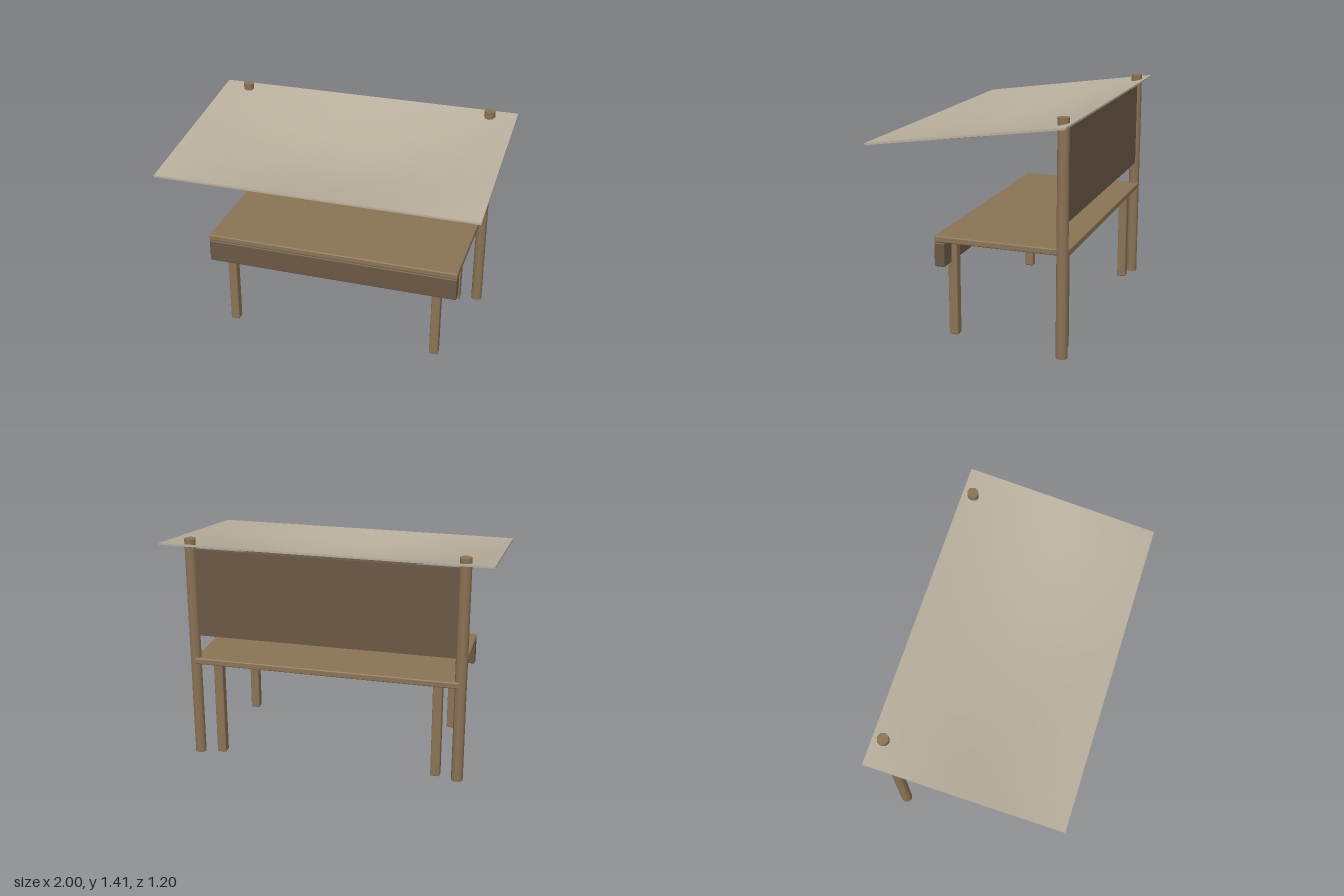
import * as THREE from 'three';
import { RoundedBoxGeometry } from 'three/addons/geometries/RoundedBoxGeometry.js';

const wood = new THREE.MeshStandardMaterial({ color: 0x8b7355 });
const darkWood = new THREE.MeshStandardMaterial({ color: 0x6b5844 });
const cloth = new THREE.MeshStandardMaterial({ color: 0xb8ae9c });

// Softly rounded board given by its lowest and highest corner
function board(name, min, max, material, radius = 0.008) {
  const size = max.map((v, i) => v - min[i]);
  const mesh = new THREE.Mesh(new RoundedBoxGeometry(...size, 2, radius), material);
  mesh.position.set(...max.map((v, i) => (v + min[i]) / 2));
  mesh.name = name;
  return mesh;
}

// Sloping cloth roof that sags in the middle, with straight edges
function makeCanopy() {
  const geometry = new THREE.BoxGeometry(2, 0.012, 1.2, 10, 1, 6);
  const p = geometry.attributes.position;
  for (let i = 0; i < p.count; i++) {
    const x = p.getX(i), z = p.getZ(i);
    const sag = 0.115 * Math.cos(x * Math.PI / 2) * Math.cos(z / 0.6 * Math.PI / 2);
    p.setY(i, p.getY(i) + 1.301 - 0.142 * z - sag);
  }
  geometry.computeVertexNormals();
  const mesh = new THREE.Mesh(geometry, cloth);
  mesh.name = 'canopy';
  return mesh;
}

export function createModel() {
  const model = new THREE.Group();
  model.name = 'marketStall';

  // Counter top and front apron
  model.add(board('counterTop', [-0.825, 0.615, -0.57], [0.825, 0.655, 0.26], wood));
  model.add(board('frontApron', [-0.825, 0.465, 0.195], [0.825, 0.613, 0.26], darkWood));

  for (const side of [-1, 1]) {
    const label = side > 0 ? 'left' : 'right';

    // Front and back legs
    for (const [end, z] of [['Front', 0.19], ['Back', -0.5]]) {
      const x = side * 0.69;
      model.add(board(`${label}${end}Leg`, [x - 0.029, 0, z - 0.029], [x + 0.029, 0.616, z + 0.029], wood));
    }

    // Tall back poles that pierce the canopy
    const pole = new THREE.Mesh(new THREE.CylinderGeometry(0.036, 0.036, 1.415, 8), wood);
    pole.position.set(side * 0.828, 1.415 / 2, -0.535);
    pole.name = `${label}Pole`;
    model.add(pole);
  }

  // Hanging back panel between the poles
  const panel = new THREE.Mesh(new THREE.BoxGeometry(1.62, 0.55, 0.024), darkWood);
  panel.position.set(0, 1.075, -0.535);
  panel.name = 'backPanel';
  model.add(panel);

  model.add(makeCanopy());
  return model;
}
